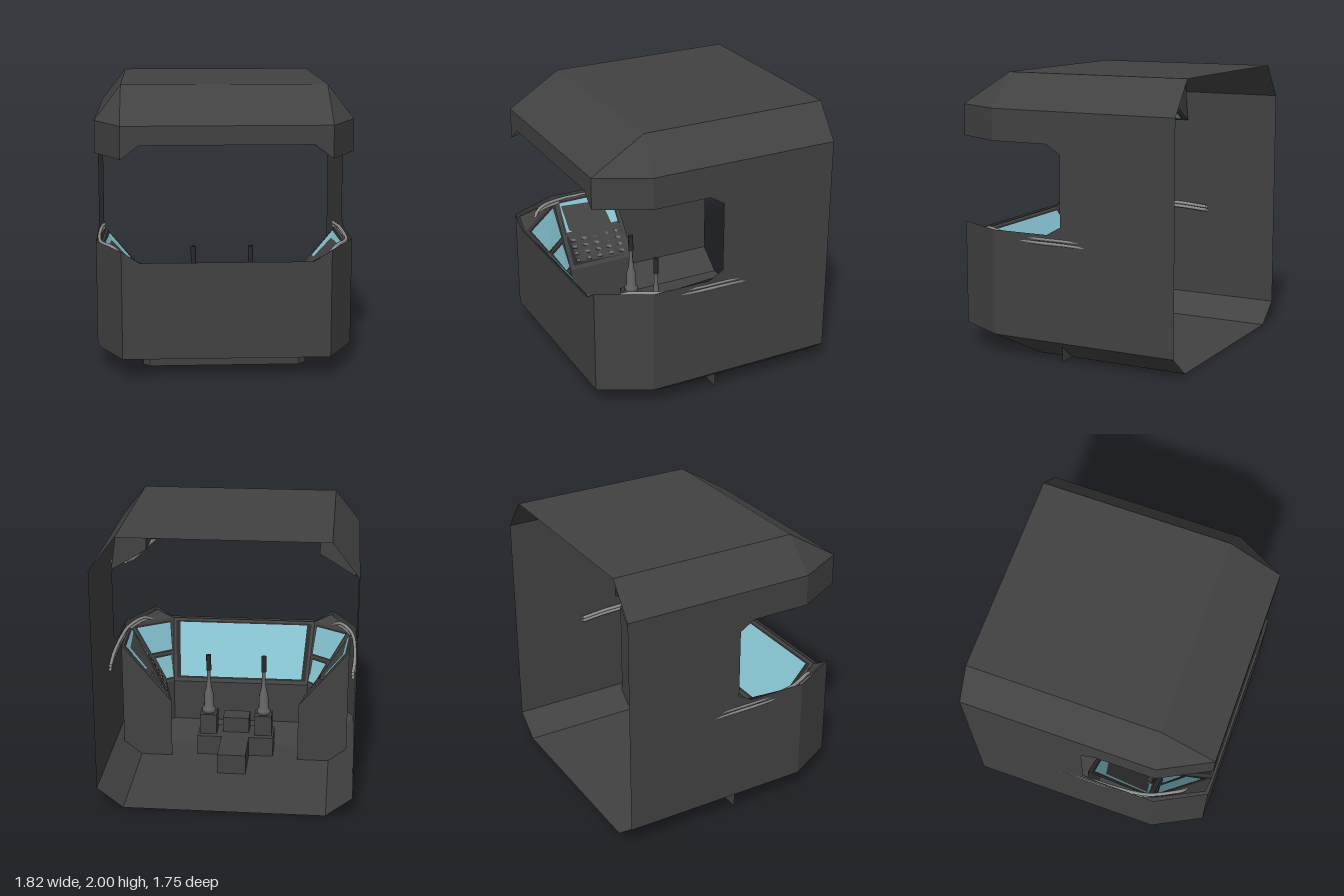
import * as THREE from 'three';

const mat = (name, color, side = THREE.DoubleSide) => {
  const m = new THREE.MeshStandardMaterial({ color, side });
  m.name = name;
  return m;
};

export function createModel() {
  const hullMat = mat('hull grey', 0x424242);
  const trimMat = mat('dark trim', 0x2a2a2a);
  const screenMat = mat('screen teal', 0x83bfcc);
  const cableMat = mat('cable grey', 0x8e8e8e);
  const metalMat = mat('metal grey', 0x666666);
  const root = new THREE.Group();

  const group = (name, parent = root) => {
    const g = new THREE.Group();
    g.name = name;
    parent.add(g);
    return g;
  };
  const add = (parent, name, geo, material, x = 0, y = 0, z = 0) => {
    const m = new THREE.Mesh(geo, material);
    m.name = name;
    m.position.set(x, y, z);
    parent.add(m);
    return m;
  };
  const V = p => new THREE.Vector3(...p);
  const mirror = pts => pts.map(([x, y, z]) => [-x, y, z]);

  // Flat polygon in space, triangulated in its own plane
  const polygon = pts => {
    const n = new THREE.Vector3();
    pts.forEach((p, i) => n.add(V(p).cross(V(pts[(i + 1) % pts.length]))));
    const a = [Math.abs(n.x), Math.abs(n.y), Math.abs(n.z)];
    const drop = a.indexOf(Math.max(...a));
    const flat = pts.map(p => new THREE.Vector2(...p.filter((_, i) => i !== drop)));
    const pos = THREE.ShapeUtils.triangulateShape(flat, []).flat().flatMap(i => pts[i]);
    const g = new THREE.BufferGeometry();
    g.setAttribute('position', new THREE.Float32BufferAttribute(pos, 3));
    g.computeVertexNormals();
    return g;
  };
  const plate = (parent, name, pts, material = hullMat) => add(parent, name, polygon(pts), material);
  const pair = (parent, name, pts, material = hullMat) => {
    plate(parent, name, pts, material);
    plate(parent, name, mirror(pts), material);
  };

  // Point on a panel: corners run bottom start, bottom end, top end, top start
  const centre = new THREE.Vector3(0, 1.2, 0);
  const onPanel = (c, u, v, lift) => {
    const [a, b, d, e] = c.map(V);
    const n = b.clone().sub(a).cross(e.clone().sub(a)).normalize();
    if (n.dot(centre.clone().sub(a)) < 0) n.negate();
    const p = a.lerp(b, u).lerp(e.lerp(d, u), v).addScaledVector(n, lift);
    return { p, n };
  };
  const patch = (parent, name, c, u0, u1, v0, v1, lift, material) =>
    plate(parent, name, [[u0, v0], [u1, v0], [u1, v1], [u0, v1]]
      .map(([u, v]) => onPanel(c, u, v, lift).p.toArray()), material);
  const screen = (parent, c, u0, u1, v0, v1) => {
    patch(parent, 'screenFrame', c, u0 - 0.03, u1 + 0.03, v0 - 0.03, v1 + 0.03, 0.004, trimMat);
    patch(parent, 'screen', c, u0, u1, v0, v1, 0.008, screenMat);
  };

  // Hull: thin faceted shell, open at the back
  const hull = group('hull');
  const X = 0.9, C = 0.715, B = -0.875, F = 0.875, S = 0.52;
  plate(hull, 'roof', [[-C, 2, B], [C, 2, B], [C, 2, 0.49], [-C, 2, 0.49]]);
  plate(hull, 'roofSlope', [[-C, 2, 0.49], [C, 2, 0.49], [C, 1.76, F], [-C, 1.76, F]]);
  plate(hull, 'frontBrow', [[-C, 1.76, F], [C, 1.76, F], [C, 1.535, F], [0.59, 1.63, F],
    [-0.59, 1.63, F], [-C, 1.535, F]]);
  plate(hull, 'frontWall', [[-C, 0.155, F], [C, 0.155, F], [C, 0.91, F], [0.59, 0.83, F],
    [-0.59, 0.83, F], [-C, 0.91, F]]);
  plate(hull, 'bellySlope', [[-C, 0.155, F], [C, 0.155, F], [C, 0.01, 0.25], [-C, 0.01, 0.25]]);
  plate(hull, 'floor', [[-C, 0.01, B], [C, 0.01, B], [C, 0.01, 0.25], [-C, 0.01, 0.25]]);
  pair(hull, 'roofChamfer', [[C, 2, B], [X, 1.76, B], [X, 1.76, S], [C, 2, 0.49]]);
  pair(hull, 'roofCorner', [[C, 2, 0.49], [X, 1.76, S], [C, 1.76, F]]);
  pair(hull, 'browCorner', [[C, 1.76, F], [X, 1.76, S], [X, 1.535, S], [C, 1.535, F]]);
  pair(hull, 'frontCorner', [[C, 0.91, F], [X, 0.91, S], [X, 0.155, S], [C, 0.155, F]]);
  pair(hull, 'sideWall', [[X, 1.76, B], [X, 1.76, S], [X, 1.535, S], [X, 1.535, 0.09], [X, 1.47, -0.015],
    [X, 0.97, -0.015], [X, 0.91, 0.09], [X, 0.91, S], [X, 0.155, S], [X, 0.155, B]]);
  pair(hull, 'bellyChamfer', [[C, 0.01, B], [X, 0.155, B], [X, 0.155, S], [C, 0.01, 0.25]]);
  pair(hull, 'bellyCorner', [[C, 0.01, 0.25], [X, 0.155, S], [C, 0.155, F]]);

  // Wraparound dashboard
  const dash = group('dashboard');
  const low = [[0.48, 0.46, 0], [0.58, 0.4, 0.49], [0.53, 0.4, 0.54]];
  const high = [[0.85, 0.9, 0], [0.87, 0.88, 0.5], [0.57, 0.82, 0.86]];
  const base = ([x, , z]) => [x, 0.003, z];
  const buttonGeo = new THREE.BoxGeometry(0.035, 0.02, 0.018);
  for (const flip of [p => p, mirror]) {
    const l = flip(low), h = flip(high);
    const sidePanel = [l[0], l[1], h[1], h[0]];
    const cornerPanel = [l[1], l[2], h[2], h[1]];
    for (const c of [sidePanel, cornerPanel]) {
      plate(dash, 'dashPanel', [c[0], c[1], c[2]]);
      plate(dash, 'dashPanel', [c[0], c[2], c[3]]);
    }
    plate(dash, 'dashCornerFill', [h[1], h[2], flip([[0.7, 0.89, 0.85]])[0]]);
    plate(dash, 'dashWall', [l[0], l[1], base(l[1]), base(l[0])]);
    plate(dash, 'dashWall', [l[1], l[2], base(l[2]), base(l[1])]);
    plate(dash, 'dashEnd', [l[0], h[0], [h[0][0], 0.01, 0], base(l[0])]);
    screen(dash, sidePanel, 0.08, 0.92, 0.52, 0.94);
    screen(dash, cornerPanel, 0.1, 0.9, 0.5, 0.93);
    screen(dash, cornerPanel, 0.15, 0.85, 0.07, 0.41);
    // Keypad below the side screen
    patch(dash, 'keypad', sidePanel, 0.06, 0.94, 0.05, 0.46, 0.004, trimMat);
    for (let r = 0; r < 4; r++) for (let k = 0; k < 5; k++) {
      const { p, n } = onPanel(sidePanel, 0.15 + k * 0.175, 0.11 + r * 0.095, 0.008);
      const b = add(dash, 'button', buttonGeo, metalMat, p.x, p.y, p.z);
      b.lookAt(p.clone().add(n));
    }
  }
  const frontPanel = [low[2], mirror(low)[2], mirror(high)[2], high[2]];
  plate(dash, 'dashFront', frontPanel);
  plate(dash, 'dashFrontWall', [low[2], mirror(low)[2], base(mirror(low)[2]), base(low[2])]);
  screen(dash, frontPanel, 0.05, 0.95, 0.08, 0.93);

  // Overhead console hanging round the window top
  const over = group('overheadConsole');
  const inner = [[0.62, 1.7, -0.15], [0.62, 1.7, 0.27], [0.21, 1.7, 0.39]];
  const outer = [[0.88, 1.54, -0.15], [0.88, 1.54, 0.5], [0.57, 1.635, 0.86]];
  const up = ([x, , z]) => [x, 1.84, z];
  for (const flip of [p => p, mirror]) {
    const i = flip(inner), o = flip(outer);
    for (let k = 0; k < 2; k++) {
      const c = [o[k], o[k + 1], i[k + 1], i[k]];
      plate(over, 'overheadPanel', [c[0], c[1], c[2]]);
      plate(over, 'overheadPanel', [c[0], c[2], c[3]]);
      plate(over, 'overheadBand', [i[k], i[k + 1], up(i[k + 1]), up(i[k])]);
      for (const a of [0.1, 0.54]) {
        if (k) screen(over, c, a, a + 0.36, 0.15, 0.85);
        else screen(over, c, 0.07, 0.92, a, a + 0.34);
      }
    }
    plate(over, 'overheadEnd', [o[0], i[0], up(i[0]), [o[0][0] * 0.95, 1.84, -0.15]]);
  }
  const overFront = [outer[2], mirror(outer)[2], mirror(inner)[2], inner[2]];
  plate(over, 'overheadFront', overFront);
  plate(over, 'overheadBand', [inner[2], mirror(inner)[2], up(mirror(inner)[2]), up(inner[2])]);
  for (let k = 0; k < 3; k++) screen(over, overFront, 0.07 + k * 0.3, 0.31 + k * 0.3, 0.2, 0.8);

  // Cables along the side walls and overhead
  const cables = group('cables');
  const tube = (pts, r) => add(cables, 'cable',
    new THREE.TubeGeometry(new THREE.CatmullRomCurve3(pts.map(V)), 28, r, 8), cableMat);
  for (const dy of [0, 0.027]) {
    const run = [[0.88, 0.835, -0.32], [0.892, 0.847, -0.1], [0.892, 0.85, 0.2], [0.865, 0.86, 0.46],
      [0.77, 0.86, 0.66], [0.68, 0.78, 0.76]].map(([x, y, z]) => [x - dy * 0.1, y + dy, z]);
    tube(run, 0.013);
    tube(mirror(run), 0.013);
  }
  for (let k = 0; k < 3; k++) {
    const d = k * 0.045;
    tube([[0.87 - d, 1.6, -0.12], [0.85 - d, 1.555, 0.1], [0.81 - d, 1.546, 0.42],
      [0.77 - d, 1.56, 0.56], [0.7 - d, 1.62, 0.66]], 0.018);
  }

  // T-shaped pedestal with two control sticks
  const pedestal = group('pedestal');
  add(pedestal, 'pedestalStem', new THREE.BoxGeometry(0.21, 0.155, 0.36), hullMat, 0, 0.083, -0.1);
  add(pedestal, 'pedestalBar', new THREE.BoxGeometry(0.58, 0.155, 0.22), hullMat, 0, 0.083, 0.15);
  add(pedestal, 'pedestalBlock', new THREE.BoxGeometry(0.2, 0.12, 0.14), hullMat, 0, 0.22, 0.2);
  const stickProfile = [[0, 0], [0.052, 0], [0.052, 0.03], [0.038, 0.05], [0.034, 0.16], [0.02, 0.2],
    [0.014, 0.28], [0.014, 0.35]].map(p => new THREE.Vector2(...p));
  for (const s of [-1, 1]) {
    const stick = group('controlStick', pedestal);
    stick.position.set(s * 0.21, 0.16, 0.15);
    add(stick, 'stickBase', new THREE.BoxGeometry(0.13, 0.16, 0.13), hullMat, 0, 0.08, 0);
    add(stick, 'stickShaft', new THREE.LatheGeometry(stickProfile, 12), metalMat, 0, 0.16, 0);
    add(stick, 'stickGrip', new THREE.CylinderGeometry(0.019, 0.019, 0.125, 12), trimMat, 0, 0.565, 0);
  }
  return root;
}
